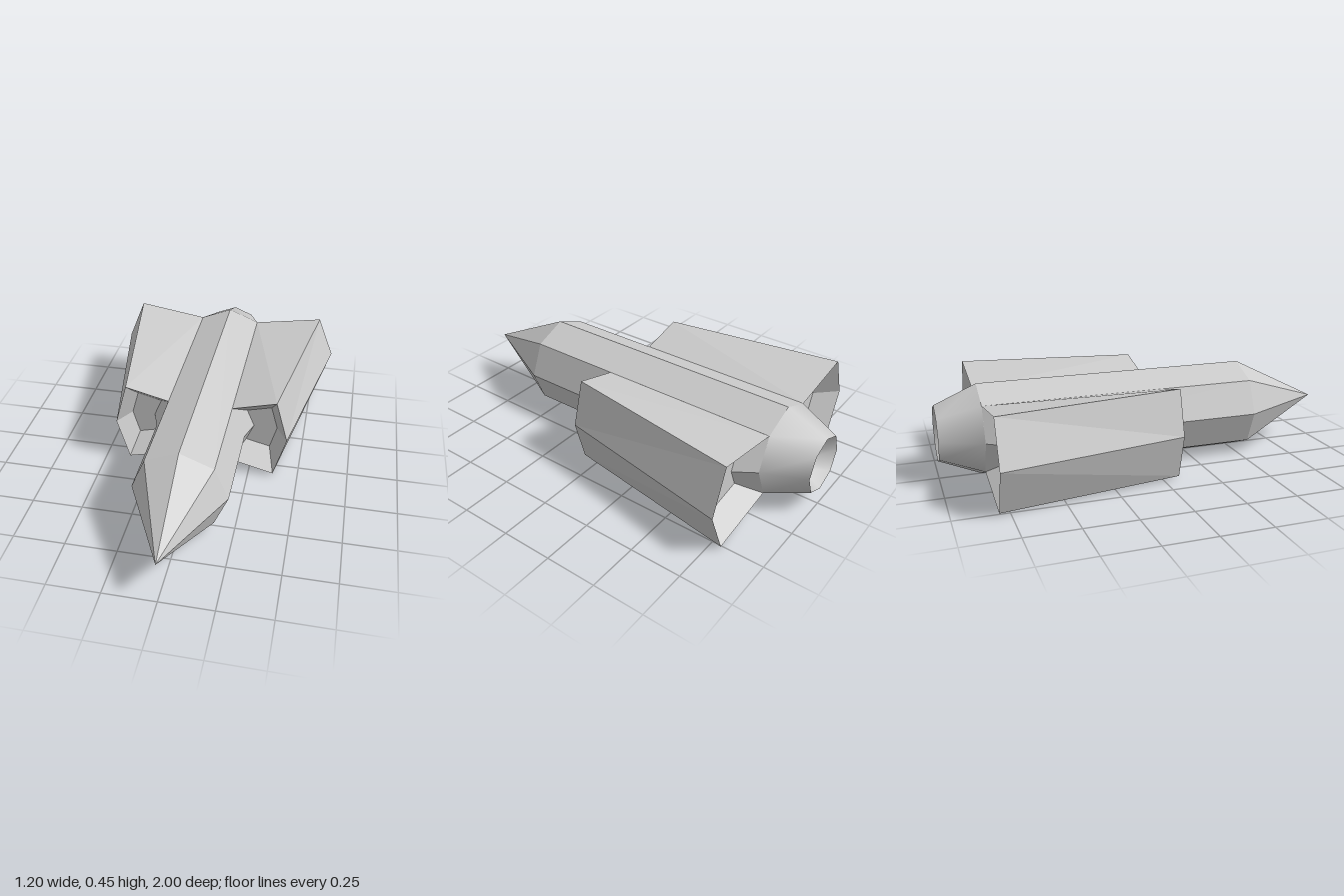
import * as THREE from 'three';
import { toCreasedNormals } from 'three/addons/utils/BufferGeometryUtils.js';

const MID = 0.225; // height of the long axis
const material = new THREE.MeshStandardMaterial({ color: 0xcccccc });
const flatMaterial = new THREE.MeshStandardMaterial({ color: 0xcccccc, flatShading: true });

// Eight-sided turned part along z; profile is [radius, z] from back to front
function turned(name, profile, mat, crease) {
  const points = profile.map(([r, z]) => new THREE.Vector2(r, z));
  let geo = new THREE.LatheGeometry(points, 8);
  geo.rotateX(Math.PI / 2);
  geo.translate(0, MID, 0);
  if (crease) geo = toCreasedNormals(geo, crease);
  const mesh = new THREE.Mesh(geo, mat);
  mesh.name = name;
  return mesh;
}

// Hexagonal nacelle section hugging the fuselage, counterclockwise seen from +z
const section = (flat, tip, z) => [
  [0.159, 0.384, z], [0.225, MID, z], [0.159, 0.066, z],
  [flat, 0.01, z], [tip, MID, z], [flat, 0.44, z],
];

// Smaller copy of a section, used as the floor of a recess
const inset = (ring, cx, dz) =>
  ring.map(([x, y, z]) => [cx + (x - cx) * 0.56, MID + (y - MID) * 0.56, z + dz]);

function nacelle(name, side) {
  const front = section(0.375, 0.435, 0.08);
  const rear = section(0.514, 0.6, -0.8);
  const rings = [inset(front, 0.3, -0.1), front, rear, inset(rear, 0.375, 0.1)];
  const positions = [];
  const tri = (a, b, c) => {
    for (const p of side > 0 ? [a, b, c] : [a, c, b]) positions.push(p[0] * side, p[1], p[2]);
  };
  // Recess walls and outer skin; the skin stays open against the fuselage
  for (let r = 0; r < 3; r++) {
    for (let i = r === 1 ? 2 : 0; i < 6; i++) {
      const j = (i + 1) % 6;
      const [a, b] = [rings[r], rings[r + 1]];
      tri(a[i], b[i], b[j]);
      tri(a[i], b[j], a[j]);
    }
  }
  // Recess floors, fanned from the concave corner
  for (let k = 2; k < 6; k++) {
    const [i, j] = [k, (k + 1) % 6];
    if (j === 1) continue;
    tri(rings[0][1], rings[0][i], rings[0][j]);
    tri(rings[3][1], rings[3][j], rings[3][i]);
  }
  const geo = new THREE.BufferGeometry();
  geo.setAttribute('position', new THREE.Float32BufferAttribute(positions, 3));
  geo.computeVertexNormals();
  const mesh = new THREE.Mesh(geo, flatMaterial);
  mesh.name = name;
  return mesh;
}

export function createModel() {
  const group = new THREE.Group();
  group.name = 'spacecraft';
  group.add(
    turned('fuselage', [[0.225, -0.8], [0.225, 0.55]], flatMaterial),
    turned('noseCone', [[0.225, 0.55], [0, 1]], flatMaterial),
    // Tapered tail with a hollow nozzle
    turned('tailNozzle', [[0, -0.9], [0.07, -0.9], [0.138, -1], [0.225, -0.8]], material, 0.8),
    nacelle('leftNacelle', 1),
    nacelle('rightNacelle', -1),
  );
  return group;
}
